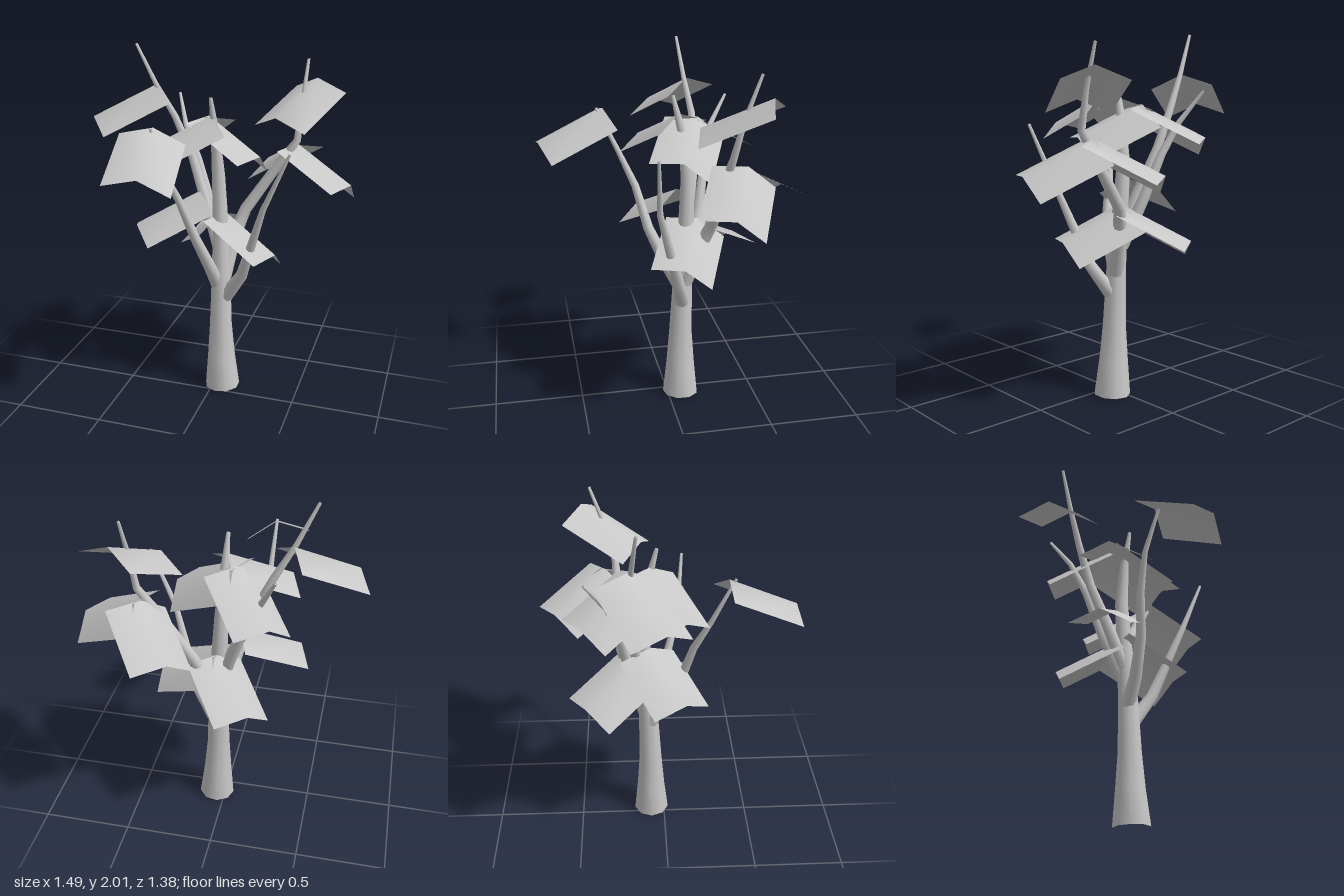
import * as THREE from 'three';

const V = (a) => new THREE.Vector3(...a);

const bark = new THREE.MeshStandardMaterial({ color: 0xc8c8c8 });
bark.name = 'bark grey';
const foliage = new THREE.MeshStandardMaterial({ color: 0xc8c8c8, side: THREE.DoubleSide });
foliage.name = 'leaf grey';

function buildGeometry(positions, index) {
  const g = new THREE.BufferGeometry();
  g.setAttribute('position', new THREE.Float32BufferAttribute(positions, 3));
  g.setIndex(index);
  g.computeVertexNormals();
  return g;
}

// Tapered limb: one ring of vertices around each [x, y, z, radius] point
function limb(name, points, sides = 9) {
  const centres = points.map((p) => V(p.slice(0, 3)));
  const last = points.length - 1;
  const pos = [], index = [];
  centres.forEach((c, i) => {
    const t = centres[Math.min(i + 1, last)].clone().sub(centres[Math.max(i - 1, 0)]).normalize();
    const u = new THREE.Vector3(0, 0, 1).cross(t).normalize();
    const v = t.clone().cross(u);
    for (let j = 0; j < sides; j++) {
      const a = (j / sides) * Math.PI * 2, r = points[i][3];
      const p = c.clone().addScaledVector(u, r * Math.cos(a)).addScaledVector(v, r * Math.sin(a));
      pos.push(p.x, p.y, p.z);
      if (i < last) {
        const k = (j + 1) % sides, n = i * sides;
        index.push(n + j, n + k, n + sides + j, n + k, n + sides + k, n + sides + j);
      }
    }
  });
  // close the tip
  const tip = centres[last], n = last * sides;
  pos.push(tip.x, tip.y, tip.z);
  for (let j = 0; j < sides; j++) index.push(n + j, n + ((j + 1) % sides), n + sides);
  const mesh = new THREE.Mesh(buildGeometry(pos, index), bark);
  mesh.name = name;
  return mesh;
}

// Branch with an even taper from base to tip
function branch(name, points, r0 = 0.042, r1 = 0.008) {
  return limb(name, points.map((p, i) => [...p, THREE.MathUtils.lerp(r0, r1, i / (points.length - 1))]), 8);
}

// Leaf card folded along its ridge; ridge runs from start along dir, up points out of the fold
const LENGTH = 0.4, HALF = 0.187, FOLD = Math.PI / 7.6;
function leafGeometry({ dir, up }) {
  const d = V(dir).normalize();
  const n = V(up).addScaledVector(d, -V(up).dot(d)).normalize();
  const s = d.clone().cross(n);
  const pos = [];
  for (const along of [0, LENGTH]) {
    for (const side of [-1, 0, 1]) {
      const p = d.clone().multiplyScalar(along)
        .addScaledVector(s, side * HALF * Math.cos(FOLD))
        .addScaledVector(n, -Math.abs(side) * HALF * Math.sin(FOLD));
      pos.push(p.x, p.y, p.z);
    }
  }
  return buildGeometry(pos, [0, 1, 3, 1, 4, 3, 1, 2, 4, 2, 5, 4]);
}

export function createModel() {
  const tree = new THREE.Group();
  tree.name = 'tree';

  // Trunk and its leader
  tree.add(limb('trunk', [
    [0.053, 0, -0.077, 0.103], [0.045, 0.2, -0.079, 0.082], [0.04, 0.4, -0.08, 0.066],
    [0.037, 0.7, -0.09, 0.056], [0.028, 1.0, -0.11, 0.046], [0.01, 1.3, -0.12, 0.038],
    [0.0, 1.55, -0.09, 0.025], [-0.01, 1.75, -0.04, 0.01],
  ]));

  // Side branches
  tree.add(
    branch('frontBranch', [[0.02, 0.66, -0.08], [-0.005, 0.8, 0.0], [-0.06, 1.0, 0.09],
      [-0.13, 1.23, 0.15], [-0.19, 1.42, 0.235], [-0.2, 1.66, 0.35]]),
    branch('leftFrontBranch', [[0.07, 0.59, -0.08], [0.175, 0.75, -0.035], [0.24, 0.95, 0.02],
      [0.32, 1.2, 0.09], [0.46, 1.52, 0.12]]),
    branch('leftBackBranch', [[0.05, 0.7, -0.1], [0.09, 0.93, -0.18], [0.14, 1.08, -0.235],
      [0.33, 1.37, -0.25], [0.42, 1.5, -0.26], [0.43, 1.7, -0.31], [0.44, 1.925, -0.39]], 0.046),
    branch('rightBackBranch', [[0.02, 0.85, -0.12], [-0.06, 1.1, -0.2], [-0.15, 1.35, -0.25],
      [-0.24, 1.53, -0.3], [-0.31, 1.69, -0.405]], 0.038),
    branch('rightBranch', [[0.02, 0.88, -0.1], [-0.08, 1.15, -0.15], [-0.17, 1.38, -0.2],
      [-0.27, 1.6, -0.2], [-0.37, 1.78, -0.175], [-0.47, 2.0, -0.15]], 0.038),
  );

  // Leaf directions, each used at one or more ridge starting points
  const leaves = [
    { name: 'leftLeaf', dir: [0.33, -0.17, 0.145], up: [0.065, 0.11, -0.02],
      at: [[0.035, 1.07, -0.18], [-0.065, 1.62, -0.19], [0.405, 1.46, -0.345]] },
    { name: 'backLeaf', dir: [-0.205, -0.17, -0.285], up: [-0.055, 0.1, -0.025],
      at: [[0.015, 1.07, -0.145], [-0.085, 1.62, -0.145], [0.385, 1.46, -0.31]] },
    { name: 'rightLeaf', dir: [-0.315, -0.167, 0.172], up: [-0.04, 0.12, 0.035],
      at: [[-0.365, 1.78, -0.19], [-0.015, 1.65, -0.075], [-0.08, 1.21, -0.075]] },
    { name: 'frontLeaf', dir: [0.05, -0.165, 0.36], up: [0.03, 0.14, 0.035],
      at: [[-0.2, 1.66, 0.315]] },
    { name: 'crownLeaf', dir: [-0.158, -0.165, 0.325], up: [0.02, 0.12, -0.045],
      at: [[0.485, 1.815, -0.44]] },
  ];
  for (const leaf of leaves) {
    const geometry = leafGeometry(leaf);
    leaf.at.forEach((p, i) => {
      const mesh = new THREE.Mesh(geometry, foliage);
      mesh.name = leaf.name + (i + 1);
      mesh.position.set(...p);
      tree.add(mesh);
    });
  }
  return tree;
}
